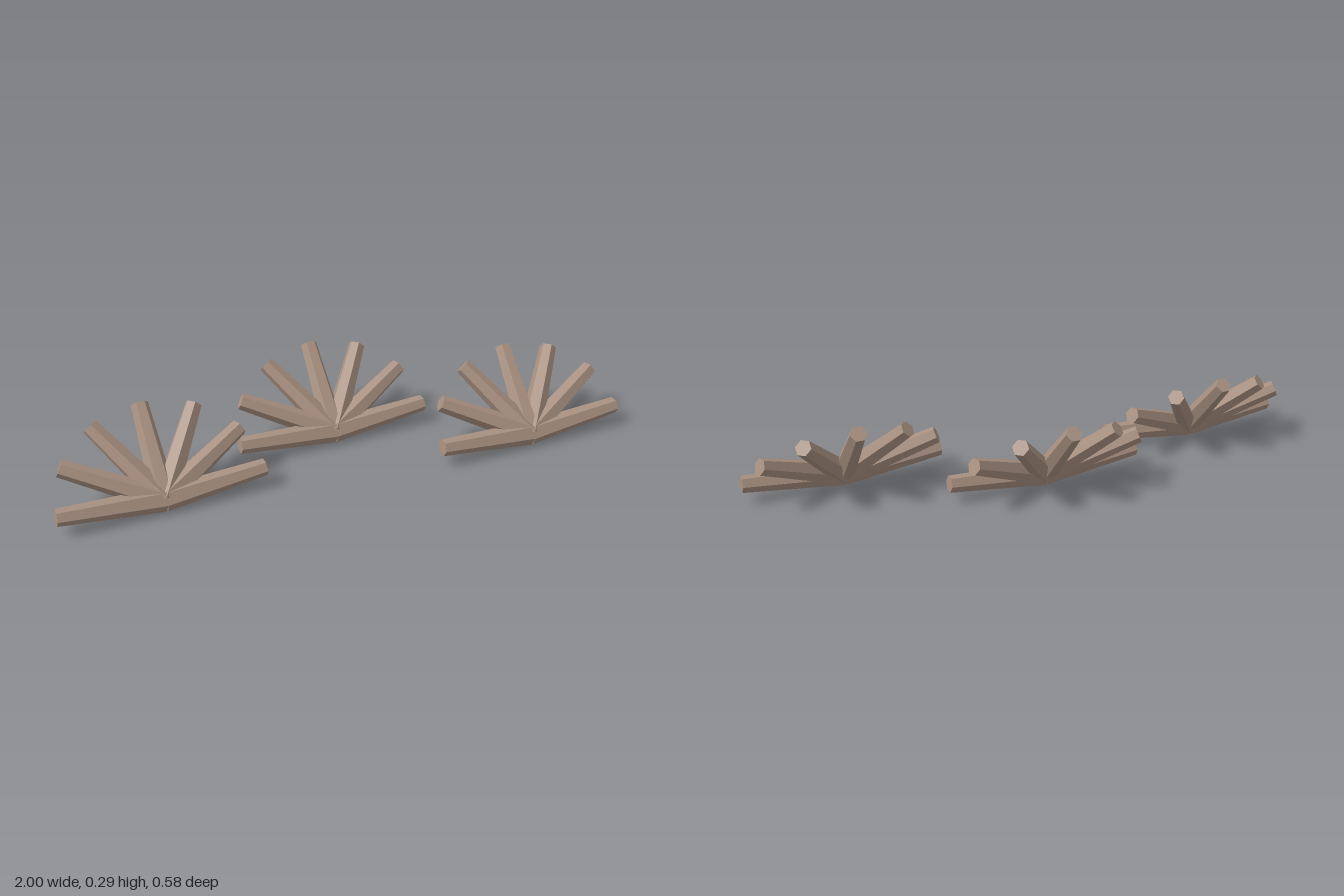
import * as THREE from 'three';

// One tapered six-sided stick running from the origin to `tip`,
// with two corners kept level.
function makeStick(tip, material) {
  const length = tip.length();
  const geometry = new THREE.CylinderGeometry(0.029, 0.042, length, 6);
  geometry.translate(0, length / 2, 0);

  const along = tip.clone().normalize();
  const level = new THREE.Vector3(0, 1, 0).cross(along).normalize();
  const across = along.clone().cross(level);
  geometry.applyMatrix4(new THREE.Matrix4().makeBasis(across, along, level));

  const stick = new THREE.Mesh(geometry, material);
  stick.name = 'stick';
  return stick;
}

// Seven sticks spread in a half circle, leaning up and back.
function makeFan(material) {
  const fan = new THREE.Group();
  fan.name = 'stickFan';
  for (let i = -3; i <= 3; i++) {
    const a = (i * Math.PI) / 6;
    const c = Math.cos(a);
    const tip = new THREE.Vector3(0.35 * Math.sin(a), 0.03 + 0.208 * c, -0.2235 * c);
    fan.add(makeStick(tip, material));
  }
  return fan;
}

export function createModel() {
  const model = new THREE.Group();
  model.name = 'stickFans';

  const wood = new THREE.MeshStandardMaterial({ color: 0xa89080 });
  wood.name = 'paleWood';
  wood.flatShading = true;

  // Three fans standing apart
  const places = [[-0.648, 0.1065], [0.018, -0.0465], [0.645, 0.245]];
  for (const [x, z] of places) {
    const fan = makeFan(wood);
    fan.position.set(x, 0.04, z);
    model.add(fan);
  }
  return model;
}
